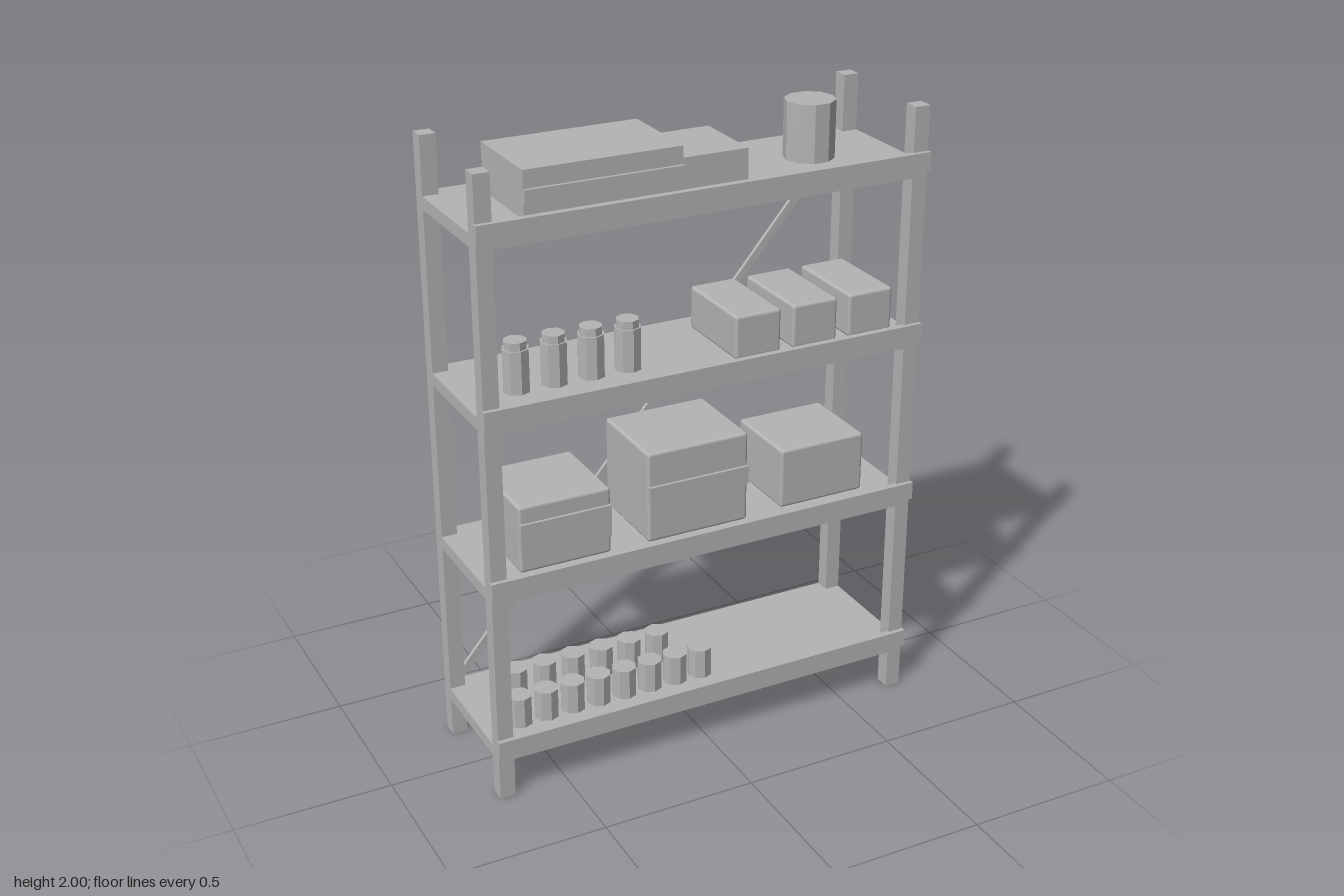
import * as THREE from 'three';
import { RoundedBoxGeometry } from 'three/addons/geometries/RoundedBoxGeometry.js';

export function createModel() {
  const rack = new THREE.Group();
  rack.name = 'storageRack';
  const grey = new THREE.MeshStandardMaterial({ color: 0xb4b4b4 });
  grey.name = 'plainGrey';

  const add = (name, geometry, x, y, z, parent = rack) => {
    const mesh = new THREE.Mesh(geometry, grey);
    mesh.name = name;
    mesh.position.set(x, y, z);
    parent.add(mesh);
    return mesh;
  };
  // Box given by its limits on each axis; a bevel softens its edges
  const box = (name, [x0, x1], [y0, y1], [z0, z1], bevel = 0, parent = rack) => {
    const size = [x1 - x0, y1 - y0, z1 - z0];
    const geometry = bevel ? new RoundedBoxGeometry(...size, 2, bevel) : new THREE.BoxGeometry(...size);
    return add(name, geometry, (x0 + x1) / 2, (y0 + y1) / 2, (z0 + z1) / 2, parent);
  };
  // Faceted upright cylinder standing on y
  const drum = (name, r, h, sides, x, y, z, parent = rack) => {
    const geometry = new THREE.CylinderGeometry(r, r, h, sides, 1, false, Math.PI / 2).toNonIndexed();
    geometry.computeVertexNormals();
    return add(name, geometry, x, y + h / 2, z, parent);
  };

  // Corner posts
  for (const x of [-0.7, 0.7]) {
    for (const z of [-0.205, 0.195]) box('post', [x - 0.025, x + 0.025], [0, 2], [z - 0.025, z + 0.025]);
  }

  // Shelves with a raised front lip
  const tops = [0.17, 0.72, 1.27, 1.82];
  for (const y of tops) {
    box('shelfBoard', [-0.725, 0.725], [y - 0.04, y], [-0.23, 0.22]);
    box('shelfLip', [-0.728, 0.728], [y - 0.018, y + 0.04], [0.213, 0.235]);
  }

  // Diagonal brace across the back
  const from = new THREE.Vector2(-0.68, 0.17), to = new THREE.Vector2(0.68, 1.78);
  const brace = add('backBrace', new THREE.BoxGeometry(from.distanceTo(to), 0.025, 0.012), 0, 0.975, -0.229);
  brace.rotation.z = to.clone().sub(from).angle();

  // Bottom shelf: two rows of cans
  const cans = new THREE.Group();
  cans.name = 'cans';
  rack.add(cans);
  for (let i = 0; i < 8; i++) drum('frontCan', 0.04, 0.1, 8, -0.6 + i * 0.09, tops[0], 0.095, cans);
  for (let i = 0; i < 6; i++) drum('rearCan', 0.04, 0.1, 8, -0.55 + i * 0.1, tops[0], -0.055, cans);

  // Second shelf: cartons, two with a raised band on the front
  box('leftCarton', [-0.6, -0.3], [0.72, 0.94], [-0.145, 0.145], 0.01);
  box('leftCartonBand', [-0.598, -0.302], [0.78, 0.885], [0.14, 0.155]);
  box('middleCarton', [-0.175, 0.17], [0.72, 1.02], [-0.155, 0.145], 0.01);
  box('middleCartonBand', [-0.173, 0.168], [0.85, 0.91], [0.14, 0.155]);
  box('rightCarton', [0.3, 0.6], [0.72, 0.92], [-0.145, 0.13], 0.01);

  // Third shelf: lidded jars and small cartons
  for (let i = 0; i < 4; i++) {
    const x = -0.55 + i * 0.12;
    drum('jar', 0.042, 0.135, 8, x, tops[2], 0.045);
    drum('jarLid', 0.036, 0.025, 8, x, tops[2] + 0.135, 0.045);
  }
  for (let i = 0; i < 3; i++) {
    const x = 0.2 + i * 0.198;
    box('smallCarton', [x - 0.078, x + 0.078], [1.27, 1.41], [-0.152, 0.145], 0.01);
  }

  // Top shelf: long case with a band, a smaller case and a drum
  box('longCase', [-0.55, -0.055], [1.82, 1.965], [-0.156, 0.144]);
  box('longCaseBand', [-0.55, -0.055], [1.87, 1.91], [0.14, 0.155]);
  box('smallCase', [-0.055, 0.17], [1.82, 1.92], [-0.131, 0.119]);
  drum('drum', 0.079, 0.18, 10, 0.447, tops[3], -0.005);

  return rack;
}
